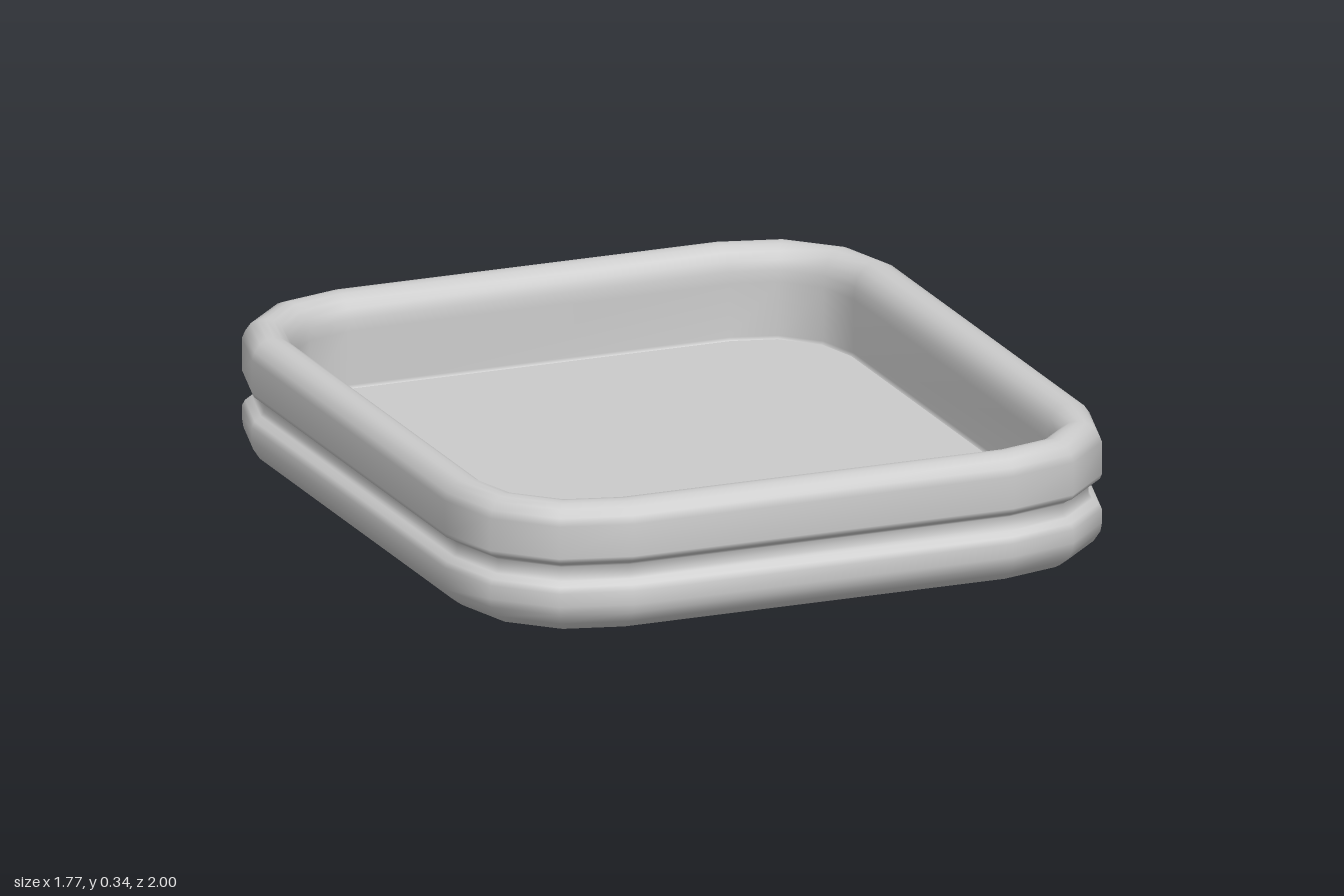
import * as THREE from 'three';

const CX = 0.52, CZ = 0.635, R = 0.365, SEG = 3;
const FLOOR_Y = 0.1;

// Rounded rectangle outline, moved inward by the given inset
function outline(inset) {
  const points = [];
  const corners = [[1, 1], [-1, 1], [-1, -1], [1, -1]];
  corners.forEach(([sx, sz], q) => {
    for (let i = 0; i <= SEG; i++) {
      const a = (q + i / SEG) * Math.PI / 2;
      points.push(new THREE.Vector2(
        sx * CX + (R - inset) * Math.cos(a),
        sz * CZ + (R - inset) * Math.sin(a)));
    }
  });
  return points;
}

// Sweeps a profile of [inset, height] pairs around the outline
function sweepRim(profile) {
  const position = [], index = [];
  const n = outline(0).length;
  for (const [inset, y] of profile) {
    for (const p of outline(inset)) position.push(p.x, y, p.y);
  }
  for (let j = 0; j < profile.length - 1; j++) {
    for (let i = 0; i < n; i++) {
      const k = (i + 1) % n;
      const a = j * n + i, b = a + n, c = j * n + k, d = c + n;
      index.push(a, b, c, c, b, d);
    }
  }
  const geometry = new THREE.BufferGeometry();
  geometry.setAttribute('position', new THREE.Float32BufferAttribute(position, 3));
  geometry.setIndex(index);
  geometry.computeVertexNormals();
  return geometry;
}

// Flat plate filling the outline, facing up or down
function plate(inset, y, up) {
  const geometry = new THREE.ShapeGeometry(new THREE.Shape(outline(inset)));
  geometry.rotateX(up ? -Math.PI / 2 : Math.PI / 2);
  return geometry.translate(0, y, 0);
}

export function createModel() {
  const group = new THREE.Group();
  group.name = 'tray';
  const material = new THREE.MeshStandardMaterial({ color: 0xcccccc });
  const add = (name, geometry) => {
    const mesh = new THREE.Mesh(geometry, material);
    mesh.name = name;
    group.add(mesh);
  };

  // Wall: lower bead, groove, upper bead, rounded lip and inner side
  add('wall', sweepRim([
    [0.06, 0], [0.045, 0.008], [0.022, 0.025], [0.004, 0.052], [0, 0.075],
    [0, 0.11], [0.008, 0.125], [0.025, 0.137], [0.034, 0.146],
    [0.034, 0.172], [0.025, 0.18], [0.006, 0.19], [0, 0.203],
    [0, 0.288], [0.008, 0.308], [0.022, 0.328], [0.042, 0.337], [0.06, 0.34],
    [0.08, 0.337], [0.1, 0.325], [0.115, 0.305], [0.122, 0.28], [0.125, 0.25],
    [0.125, FLOOR_Y + 0.008], [0.131, FLOOR_Y],
  ]));

  // Inner floor and underside
  add('floor', plate(0.131, FLOOR_Y, true));
  add('underside', plate(0.06, 0, false));
  return group;
}
